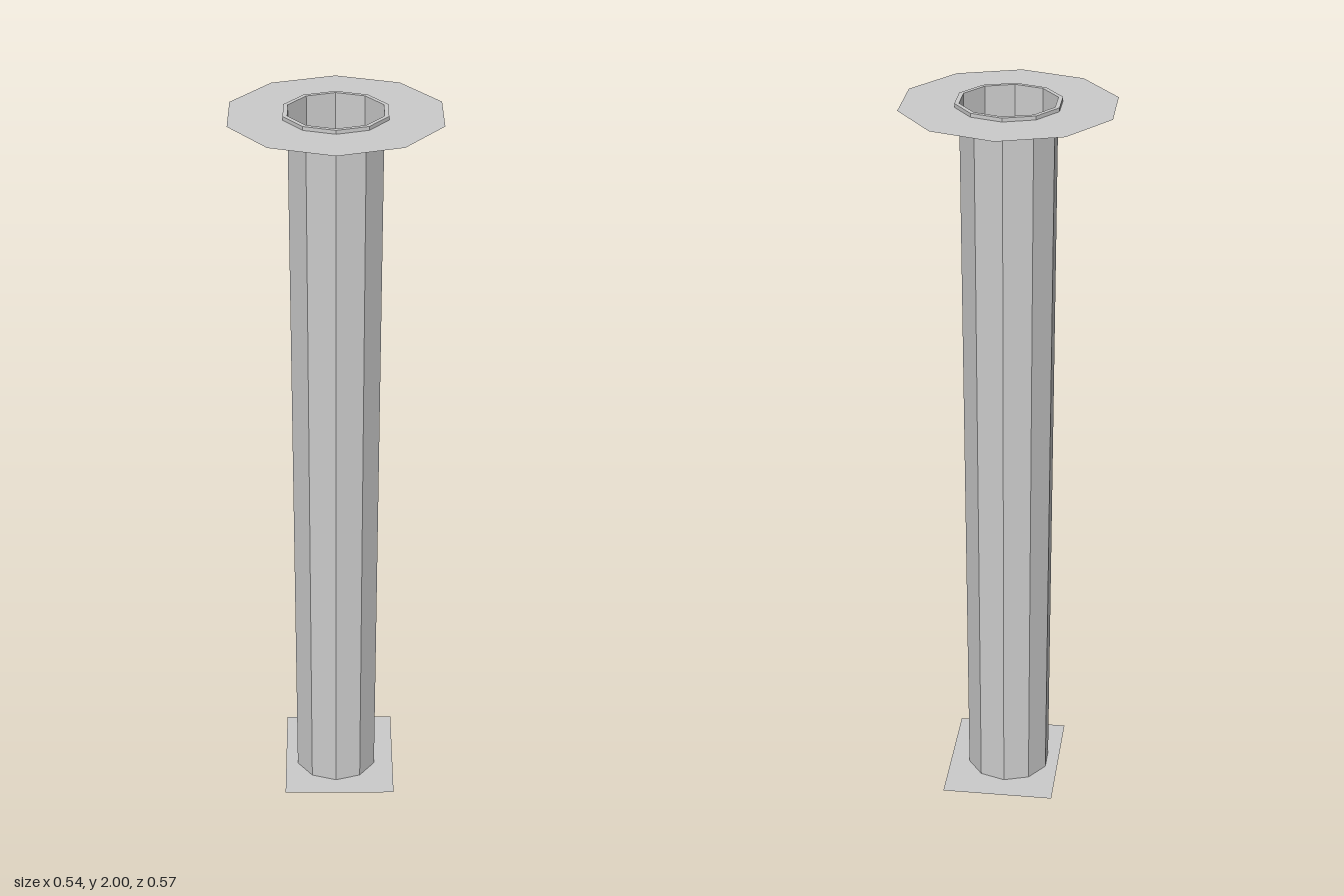
import * as THREE from 'three';

const SIDES = 10;

export function createModel() {
  const group = new THREE.Group();
  const material = new THREE.MeshStandardMaterial({
    color: 0xcccccc, flatShading: true, side: THREE.DoubleSide,
  });
  const add = (name, geometry, x = 0, y = 0, z = 0) => {
    const mesh = new THREE.Mesh(geometry, material);
    mesh.name = name;
    mesh.position.set(x, y, z);
    group.add(mesh);
  };

  // Hollow, slightly tapering ten-sided column
  add('shaft', new THREE.CylinderGeometry(0.127, 0.117, 2, SIDES, 1, true), 0, 1, 0);

  // Thin collar around the open mouth
  const collar = [[0.127, 1.985], [0.139, 1.985], [0.139, 2], [0.127, 2]]
    .map(([r, y]) => new THREE.Vector2(r, y));
  add('collar', new THREE.LatheGeometry(collar, SIDES));

  // Paper-thin disc surrounding the collar
  const disc = new THREE.RingGeometry(0.139, 0.283, SIDES, 1, Math.PI / 2);
  add('topDisc', disc.rotateX(-Math.PI / 2), 0, 1.99, 0);

  // Flat ground plate, closing the bottom of the column
  const plate = new THREE.PlaneGeometry(0.31, 0.365);
  add('groundPlate', plate.rotateX(-Math.PI / 2), 0.01, 0, -0.007);

  return group;
}
